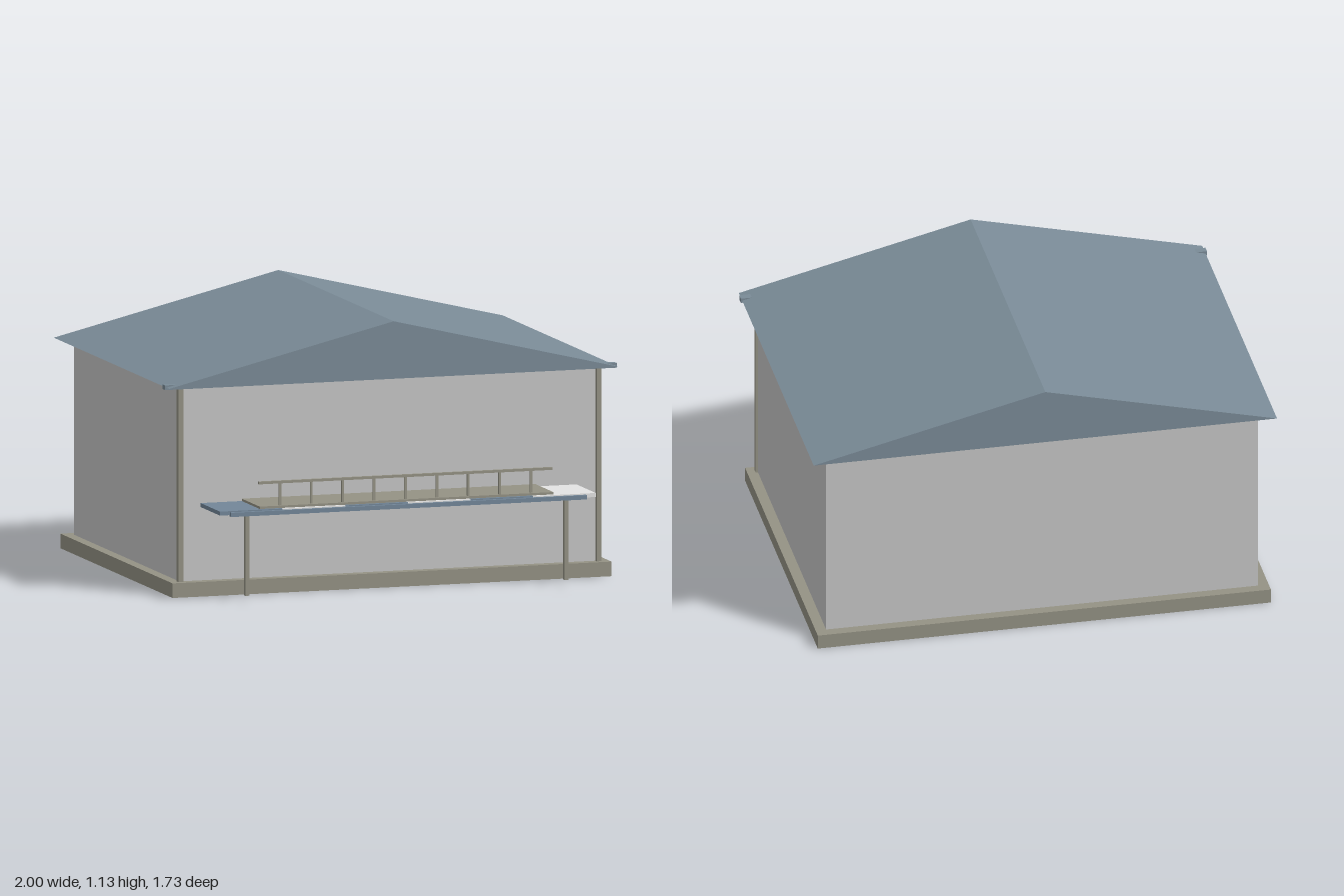
import * as THREE from 'three';

const mat = (name, color) => {
  const m = new THREE.MeshStandardMaterial({ color });
  m.name = name;
  return m;
};

export function createModel() {
  const house = new THREE.Group();
  house.name = 'house';
  const wall = mat('wall grey', 0xc6c6c6);
  const roofBlue = mat('roof slate blue', 0x7a8b97);
  const stone = mat('stone taupe', 0x949284);
  const white = mat('awning white', 0xe4e4e4);
  const blue = mat('awning blue', 0x738799);

  // Box given by its minimum and maximum on each axis
  const box = (name, material, [x0, x1], [y0, y1], [z0, z1], parent = house) => {
    const mesh = new THREE.Mesh(new THREE.BoxGeometry(x1 - x0, y1 - y0, z1 - z0), material);
    mesh.position.set((x0 + x1) / 2, (y0 + y1) / 2, (z0 + z1) / 2);
    mesh.name = name;
    parent.add(mesh);
    return mesh;
  };

  // Plinth and main block
  box('plinth', stone, [-0.972, 0.972], [0, 0.062], [-0.845, 0.64]);
  box('walls', wall, [-0.927, 0.927], [0.062, 0.893], [-0.8, 0.594]);

  // Solid gable roof with its ridge running front to back
  const gable = new THREE.Shape();
  gable.moveTo(-0.994, 0.892);
  gable.lineTo(0.994, 0.892);
  gable.lineTo(0, 1.132);
  gable.closePath();
  const roof = new THREE.Mesh(
    new THREE.ExtrudeGeometry(gable, { depth: 1.528, bevelEnabled: false }), roofBlue);
  roof.position.z = -0.866;
  roof.name = 'roof';
  house.add(roof);

  // Gutter under the front eave, and a downpipe at each front corner
  box('gutter', roofBlue, [-1, 1], [0.882, 0.902], [0.594, 0.626]);
  for (const s of [-1, 1]) {
    const x = s * 0.926;
    box('downpipe', stone, [x - 0.011, x + 0.011], [0.062, 0.886], [0.59, 0.614]);
  }

  // Canopy of six alternating panels with a front beam
  const canopy = new THREE.Group();
  canopy.name = 'canopy';
  house.add(canopy);
  const w = 1.664 / 6;
  for (let i = 0; i < 6; i++) {
    const x = -0.832 + i * w;
    box('canopyPanel', i % 2 ? white : blue, [x, x + w], [0.373, 0.39], [0.59, 0.85], canopy);
  }
  box('canopyBeam', blue, [-0.788, 0.788], [0.367, 0.385], [0.847, 0.867], canopy);
  for (const s of [-1, 1]) {
    const x = s * 0.706;
    box('canopyPost', stone, [x - 0.009, x + 0.009], [0.025, 0.373], [0.82, 0.838], canopy);
  }

  // Balcony deck and railing on top of the canopy
  const balcony = new THREE.Group();
  balcony.name = 'balcony';
  house.add(balcony);
  box('deck', stone, [-0.65, 0.65], [0.388, 0.4], [0.59, 0.832], balcony);
  box('handrail', stone, [-0.65, 0.65], [0.493, 0.504], [0.81, 0.823], balcony);
  for (let i = -4; i <= 4; i++) {
    const x = i * 0.139;
    box('baluster', stone, [x - 0.005, x + 0.005], [0.4, 0.494], [0.812, 0.821], balcony);
  }
  return house;
}
